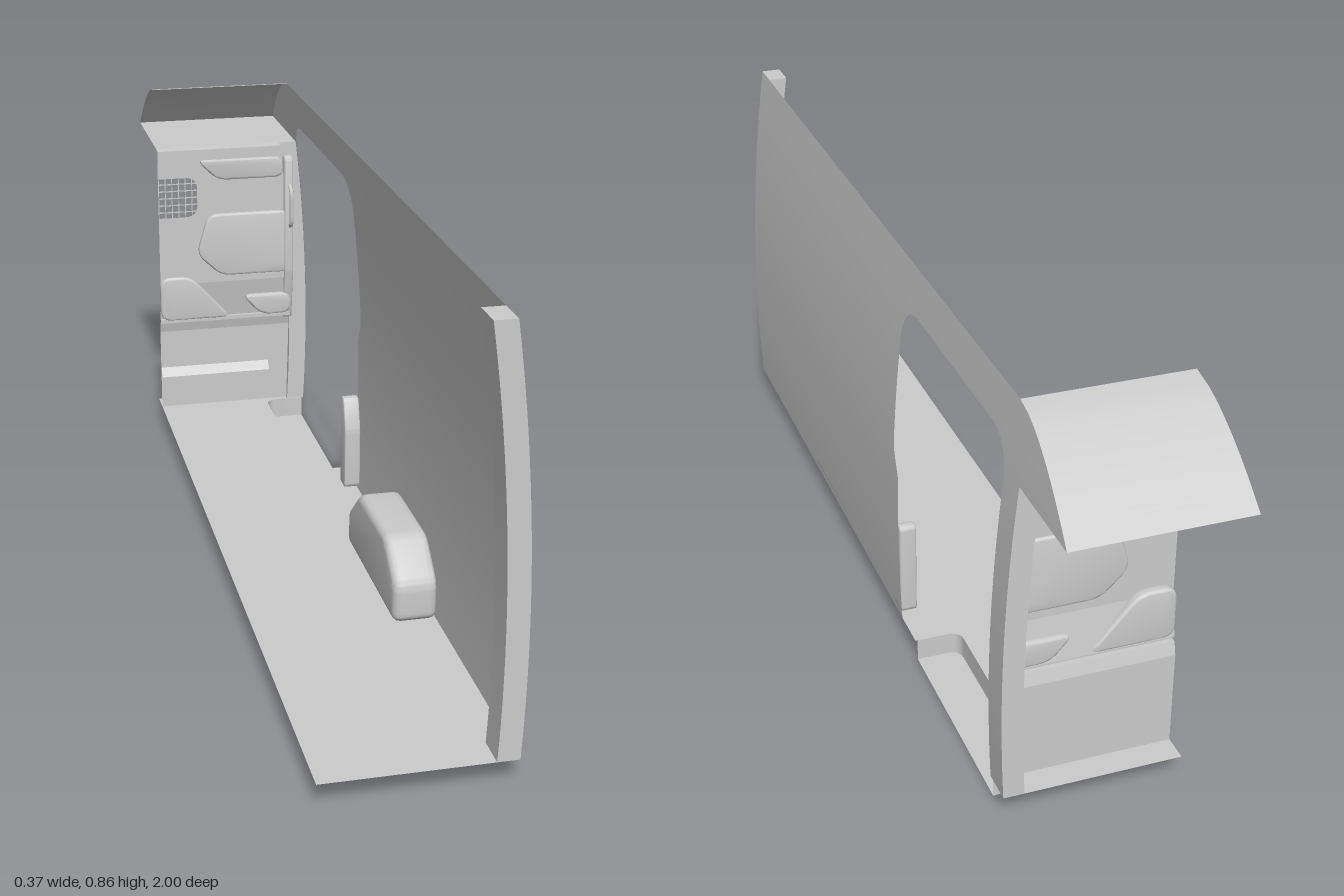
import * as THREE from 'three';
import { toCreasedNormals } from 'three/addons/utils/BufferGeometryUtils.js';

const LEFT = -0.185, FLOOR = 0.05, SHELF = 0.72, TOP = 0.86;
const mat = new THREE.MeshStandardMaterial({ color: 0xcccccc, side: THREE.DoubleSide });

// Bowed side profile: outer skin and inner pillar line at a given height
const outerX = y => 0.183 - 0.126 * (y - 0.27) ** 2;
const innerX = y => outerX(y) - 0.042;
// Overhang curve: z at a given height above the shelf
const overhangZ = y => -0.74 - 0.26 * (Math.max(0, TOP - y) / 0.14) ** 0.625;
const range = (a, b, n) => Array.from({ length: n + 1 }, (_, i) => a + (b - a) * i / n);

// Surface through rows of points
function loft(rows, crease = 0.5) {
  const n = rows[0].length, index = [];
  for (let r = 0; r < rows.length - 1; r++)
    for (let c = 0; c < n - 1; c++) {
      const a = r * n + c, b = a + n;
      index.push(a, a + 1, b, a + 1, b + 1, b);
    }
  const g = new THREE.BufferGeometry();
  g.setAttribute('position', new THREE.Float32BufferAttribute(rows.flat(2), 3));
  g.setIndex(index);
  g.computeVertexNormals();
  return toCreasedNormals(g, crease);
}

const shapeOf = pts => new THREE.Shape(pts.map(p => new THREE.Vector2(...p)));

// Polygon with rounded corners
function rounded(pts, r) {
  const s = new THREE.Shape(), v = pts.map(p => new THREE.Vector2(...p));
  v.forEach((p, i) => {
    const a = v[(i + v.length - 1) % v.length], b = v[(i + 1) % v.length];
    const cut = q => p.clone().add(q.clone().sub(p).setLength(Math.min(r, q.distanceTo(p) * 0.45)));
    const p0 = cut(a), p1 = cut(b);
    if (i) s.lineTo(p0.x, p0.y); else s.moveTo(p0.x, p0.y);
    s.quadraticCurveTo(p.x, p.y, p1.x, p1.y);
  });
  s.closePath();
  return s;
}

const extrude = (shape, depth, bevel) => toCreasedNormals(new THREE.ExtrudeGeometry(shape, {
  depth, curveSegments: 6, bevelEnabled: bevel > 0, bevelSize: bevel,
  bevelThickness: bevel, bevelOffset: -bevel, bevelSegments: 3 }), 0.6);

// Extrusion of a (z, y) outline across x, from x0 to x1
function sideExtrude(shape, x0, x1, bevel) {
  return extrude(shape, x1 - x0 - 2 * bevel, bevel).rotateY(-Math.PI / 2).translate(x1 - bevel, 0, 0);
}

export function createModel() {
  const model = new THREE.Group();
  const add = (name, geometry, parent = model) => {
    const m = new THREE.Mesh(geometry, mat);
    m.name = name;
    parent.add(m);
    return m;
  };

  // Side wall: skin behind the door opening and skin in front of it
  const doorTop = 0.77, r = 0.075;
  const corner = y => y < doorTop - r ? 0 : r - Math.sqrt(Math.max(0, r * r - (y - doorTop + r) ** 2));
  const rearEdge = y => -0.185 + 0.035 * THREE.MathUtils.smoothstep(y, 0.38, 0.46) - corner(y);
  const frontEdge = y => -0.722 + corner(y);
  const low = [...range(FLOOR, 0.36, 8), ...range(0.38, 0.46, 5), ...range(0.5, 0.69, 5)];
  const high = [...range(0.695, SHELF, 4)];
  const arc = range(SHELF, doorTop, 10), over = range(doorTop, TOP, 12);
  const at = (y, z) => [outerX(y), y, z];
  add('sideWallRear', loft([
    ...[...low, ...high, ...arc].map(y => [at(y, rearEdge(y)), at(y, 1)]),
    ...over.map(y => [at(y, -0.45), at(y, 1)])]));
  add('sideWallFront', loft([
    ...[...low, ...high].map(y => [at(y, -0.79), at(y, frontEdge(y))]),
    ...arc.map(y => [at(y, overhangZ(y)), at(y, frontEdge(y))]),
    ...over.map(y => [at(y, overhangZ(y)), at(y, -0.45)])]));

  // Box pillars following the bow of the wall
  const pillar = (name, z0, z1, top) => {
    const ring = y => [[innerX(y), y, z0], [outerX(y), y, z0], [outerX(y), y, z1],
      [innerX(y), y, z1], [innerX(y), y, z0]];
    const cap = y => ring(y).map(() => [(innerX(y) + outerX(y)) / 2, y, (z0 + z1) / 2]);
    add(name, loft([cap(FLOOR), ...range(FLOOR, top, 20).map(ring), cap(top)]));
  };
  pillar('rearPillar', 0.935, 1, TOP);
  pillar('frontPillar', -0.79, -0.725, SHELF);

  // Floor with a cut-out for the entry step
  const sill = outerX(FLOOR), sx = 0.08, sz0 = -0.722, sz1 = -0.272, sr = 0.025;
  const stepPath = [[0.172, sz1]];
  for (const t of range(0, Math.PI / 2, 6))
    stepPath.push([sx + sr - sr * Math.sin(t), sz1 - sr + sr * Math.cos(t)]);
  for (const t of range(0, Math.PI / 2, 6))
    stepPath.push([sx + sr - sr * Math.cos(t), sz0 + sr - sr * Math.sin(t)]);
  stepPath.push([0.172, sz0]);
  const flat = (pts, y) => new THREE.ShapeGeometry(shapeOf(pts.map(([x, z]) => [x, -z])))
    .rotateX(-Math.PI / 2).translate(0, y, 0);
  add('floor', flat([[LEFT, 1], [sill, 1], [sill, sz1], ...stepPath, [sill, sz0],
    [sill, -0.79], [LEFT, -0.79]], FLOOR));
  add('stepTread', flat(stepPath, 0.002));
  add('stepRiser', loft([0, FLOOR].map(y => stepPath.map(([x, z]) => [x, y, z]))));

  // Wheel arch
  add('wheelArch', sideExtrude(rounded([[0.11, FLOOR], [0.49, FLOOR], [0.49, 0.135],
    [0.41, 0.203], [0.2, 0.203], [0.11, 0.125]], 0.02), 0.088, 0.178, 0.016));

  // Overhead roof and storage shelf
  add('overheadRoof', loft(range(TOP, SHELF, 16).map(y =>
    [LEFT, outerX(y)].map(x => [x, y, overhangZ(y)]))));
  add('overheadShelf', flat([[LEFT, -1], [outerX(SHELF), -1], [outerX(SHELF), -0.725], [LEFT, -0.725]], SHELF));

  // Bulkhead: folded strips and a flat upper panel with a window notch
  const bulkhead = new THREE.Group();
  bulkhead.name = 'bulkhead';
  model.add(bulkhead);
  const strip = (name, profile, xr = innerX) => add(name, loft(profile.map(([y, z]) =>
    [[LEFT, y, z], [xr(y), y, z]]), 0.1), bulkhead);
  const face = -0.71;
  strip('lowerBulkhead', [[FLOOR, -0.735], [0.25, -0.735], [0.277, -0.728], [0.277, -0.718],
    [0.287, -0.718], [0.287, -0.726], [0.38, face]]);
  strip('upperLip', [[0.69, face], [0.692, -0.702], [0.718, -0.702], [SHELF, -0.73]]);
  strip('kickRidge', [[0.08, -0.735], [0.08, -0.718], [0.135, -0.718], [0.155, -0.735]], () => 0.087);
  const panel = new THREE.Shape();
  panel.moveTo(LEFT, 0.38);
  for (const y of range(0.38, 0.69, 8)) panel.lineTo(innerX(y), y);
  panel.lineTo(LEFT, 0.69);
  panel.lineTo(LEFT, 0.648);
  panel.lineTo(-0.12, 0.648);
  panel.quadraticCurveTo(-0.09, 0.648, -0.09, 0.62);
  panel.lineTo(-0.09, 0.58);
  panel.quadraticCurveTo(-0.09, 0.55, -0.12, 0.55);
  panel.lineTo(LEFT, 0.55);
  add('upperBulkhead', new THREE.ShapeGeometry(panel).translate(0, 0, face), bulkhead);

  // Embossed bulkhead fields
  const emboss = (name, pts, z, depth) =>
    add(name, extrude(rounded(pts, 0.025), depth - 0.01, 0.005).translate(0, 0, z + 0.005), bulkhead);
  emboss('topField', [[-0.092, 0.692], [-0.04, 0.64], [0.124, 0.64], [0.119, 0.692]], -0.715, 0.014);
  emboss('middleField', [[-0.094, 0.455], [-0.035, 0.398], [0.138, 0.398], [0.135, 0.555],
    [-0.065, 0.555]], -0.715, 0.015);
  emboss('lowerLeftField', [[LEFT, 0.288], [-0.01, 0.288], [-0.11, 0.398], [LEFT, 0.398]], -0.728, 0.024);
  emboss('lowerRightField', [[0.065, 0.288], [0.14, 0.288], [0.14, 0.341], [0.018, 0.341]], -0.728, 0.024);

  // Window grille
  const bar = (w, h, x, y) => add('grilleBar', new THREE.BoxGeometry(w, h, 0.002).translate(x, y, face), bulkhead);
  for (const y of range(0.564, 0.634, 4)) bar(0.095, 0.0022, -0.1375, y);
  for (const x of range(-0.184, -0.103, 5)) bar(0.0022, 0.098, x, 0.599);

  // Grab handle beside the door opening
  add('handleBase', sideExtrude(rounded([[-0.727, 0.265], [-0.717, 0.29], [-0.697, 0.4],
    [-0.697, 0.69], [-0.727, 0.69]], 0.01), 0.124, 0.146, 0.004));
  const grip = new THREE.CatmullRomCurve3([[-0.7, 0.515], [-0.685, 0.525], [-0.682, 0.565],
    [-0.685, 0.605], [-0.7, 0.617]].map(([z, y]) => new THREE.Vector3(0.138, y, z)));
  add('grabHandle', new THREE.TubeGeometry(grip, 24, 0.005, 8));

  // Bracket on the inner wall behind the door
  add('doorBracket', sideExtrude(rounded([[-0.18, 0.06], [-0.135, 0.06], [-0.135, 0.2],
    [-0.155, 0.27], [-0.18, 0.27]], 0.01), 0.142, 0.178, 0.004));

  return model;
}
